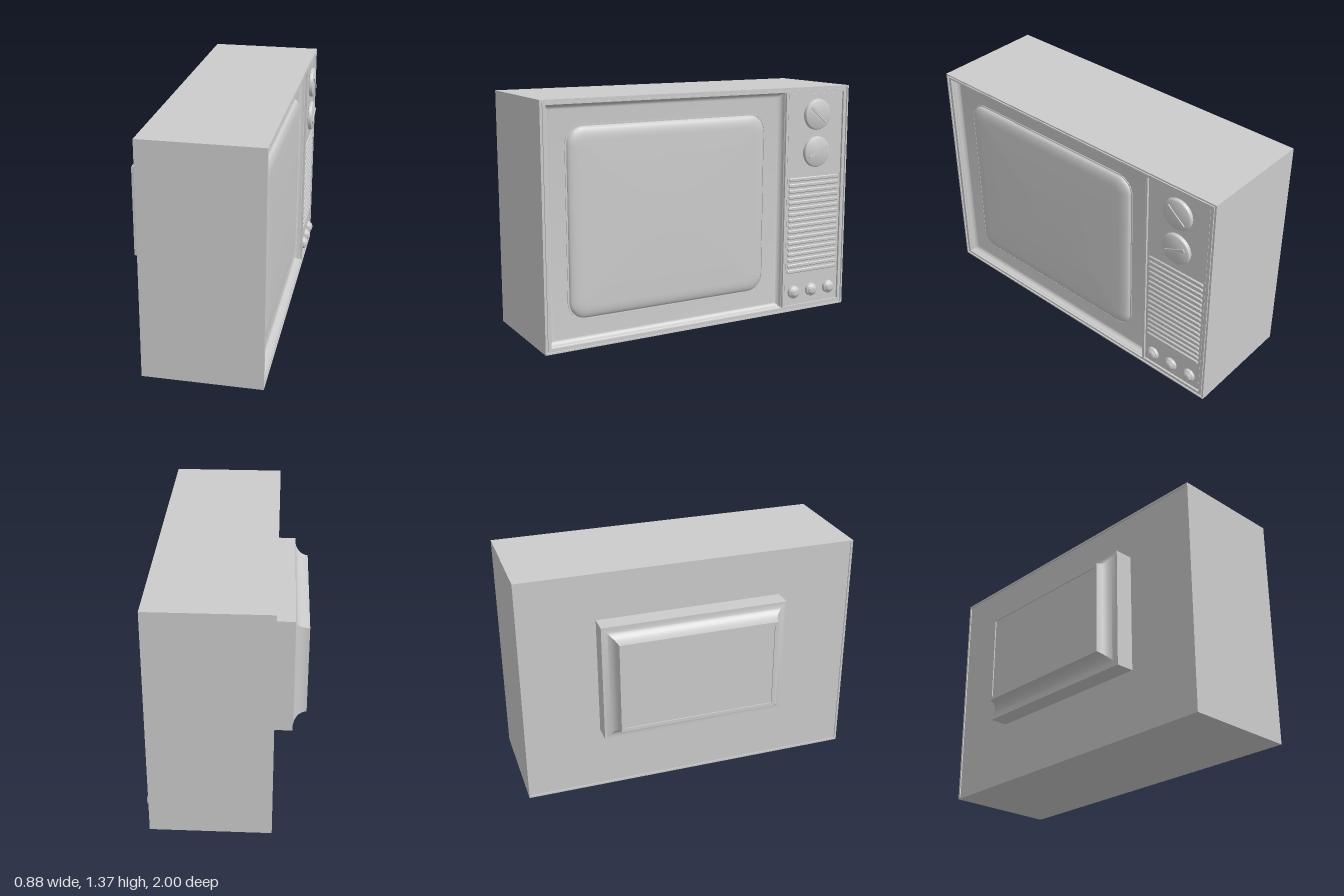
import * as THREE from 'three';
import { toCreasedNormals } from 'three/addons/utils/BufferGeometryUtils.js';

const material = new THREE.MeshStandardMaterial({ color: 0xcccccc });

// Counter-clockwise rounded rectangle [x0, x1, y0, y1], shrunk by inset, at depth z
function ring([x0, x1, y0, y1], inset, z, r = 0) {
  const steps = r > 0 ? 8 : 0, pts = [];
  const corners = [[x1, y0, 1, -1], [x1, y1, 1, 1], [x0, y1, -1, 1], [x0, y0, -1, -1]];
  corners.forEach(([x, y, sx, sy], c) => {
    for (let i = 0; i <= steps; i++) {
      const a = (c - 1 + (steps ? i / steps : 0)) * Math.PI / 2;
      const k = r > 0 ? r : 0;
      pts.push([x - sx * (inset + k) + k * Math.cos(a), y - sy * (inset + k) + k * Math.sin(a), z]);
    }
  });
  return pts;
}

// Skin over successive rings, with optional caps on the first and last
function loft(rings, capStart, capEnd, crease = 0.5) {
  const n = rings[0].length, pos = rings.flat(2), idx = [];
  for (let i = 0; i < rings.length - 1; i++)
    for (let j = 0; j < n; j++) {
      const a = i * n + j, b = i * n + (j + 1) % n;
      idx.push(a, b, b + n, a, b + n, a + n);
    }
  const cap = (k, flip) => {
    const mid = pos.length / 3, sum = [0, 0, 0];
    rings[k].forEach(p => p.forEach((v, i) => { sum[i] += v / n; }));
    pos.push(...sum);
    for (let j = 0; j < n; j++) {
      const a = k * n + j, b = k * n + (j + 1) % n;
      idx.push(...(flip ? [b, a, mid] : [a, b, mid]));
    }
  };
  if (capStart) cap(0, true);
  if (capEnd) cap(rings.length - 1, false);
  const g = new THREE.BufferGeometry();
  g.setAttribute('position', new THREE.Float32BufferAttribute(pos, 3));
  g.setIndex(idx);
  return toCreasedNormals(g, crease);
}

function rectPath(Type, [x0, x1, y0, y1]) {
  const p = new Type();
  p.moveTo(x0, y0).lineTo(x1, y0).lineTo(x1, y1).lineTo(x0, y1).closePath();
  return p;
}

// Round control turned about the depth axis, from [radius, height] points
function turned(profile) {
  const g = new THREE.LatheGeometry(profile.map(([r, h]) => new THREE.Vector2(r, h)), 32);
  return toCreasedNormals(g.rotateX(Math.PI / 2), 0.7);
}

export function createModel() {
  const root = new THREE.Group();
  // Built facing +z, then turned so the screen faces +x
  const set = new THREE.Group();
  set.name = 'television';
  set.rotation.y = Math.PI / 2;
  root.add(set);
  const add = (name, geometry, parent = set, x = 0, y = 0, z = 0) => {
    const m = new THREE.Mesh(geometry, material);
    m.name = name;
    m.position.set(x, y, z);
    parent.add(m);
    return m;
  };

  const outer = [-1, 1, 0, 1.37];
  const screenBay = [-0.965, 0.545, 0.03, 1.342];
  const controlBay = [0.56, 0.965, 0.036, 1.336];

  // Cabinet shell with a lip around the back and a stepped front rim
  add('cabinet', loft([
    ring(outer, 0.012, -0.255), ring(outer, 0.012, -0.262), ring(outer, 0, -0.262),
    ring(outer, 0, 0.415), ring(outer, 0.009, 0.415), ring(outer, 0.009, 0.406),
    ring(outer, 0.017, 0.406), ring(outer, 0.017, 0.38),
  ], true, false));

  // Front frame with openings for the screen and the controls
  const frame = rectPath(THREE.Shape, [-0.983, 0.983, 0.017, 1.353]);
  frame.holes.push(rectPath(THREE.Path, screenBay), rectPath(THREE.Path, controlBay));
  add('frontFrame', new THREE.ExtrudeGeometry(frame, { depth: 0.035, bevelEnabled: false }), set, 0, 0, 0.378);

  // Coved bezel around the screen
  const bezel = [ring(screenBay, 0, 0.4)];
  for (let i = 0; i <= 6; i++) {
    const a = i / 6 * Math.PI / 2;
    bezel.push(ring(screenBay, 0.004 + 0.03 * (1 - Math.cos(a)), 0.395 - 0.03 * Math.sin(a)));
  }
  add('bezel', loft(bezel, false, true));

  // Pillow-shaped screen glass with a dark gap moulding around it
  const glass = [-0.84, 0.415, 0.155, 1.222];
  add('screenSurround', loft([
    ring(glass, -0.006, 0.36, 0.106), ring(glass, -0.006, 0.369, 0.106),
    ring(glass, 0, 0.369, 0.1), ring(glass, 0, 0.36, 0.1),
  ], false, false));
  const pillow = [ring(glass, 0.004, 0.36, 0.096)];
  for (let i = 0; i <= 8; i++) {
    const a = i / 8 * Math.PI / 2;
    pillow.push(ring(glass, 0.005 + 0.075 * (1 - Math.cos(a)), 0.366 + 0.026 * Math.sin(a), 0.095 - 0.06 * (1 - Math.cos(a))));
  }
  pillow.push(ring(glass, 0.25, 0.396, 0.03));
  add('screen', loft(pillow, false, true, 0.8));

  // Control panel, raised inside its own thin groove
  add('controlPanel', loft([
    ring(controlBay, 0, 0.4), ring(controlBay, 0.006, 0.4), ring(controlBay, 0.006, 0.406),
  ], false, true));

  // Speaker grille slats
  const grille = new THREE.Group();
  grille.name = 'speakerGrille';
  set.add(grille);
  const slat = [-0.185, 0.185, -0.011, 0.011];
  const slatShape = loft([
    ring(slat, 0, 0, 0.01), ring(slat, 0, 0.006, 0.01), ring(slat, 0.004, 0.01, 0.006),
  ], false, true);
  for (let i = 0; i < 17; i++) add('slat', slatShape, grille, 0.762, 0.25 + i * 0.0355, 0.405);

  // Two dials with grip bars
  const dialShape = turned([[0.085, 0], [0.093, 0.004], [0.093, 0.016], [0.09, 0.023], [0.08, 0.028], [0, 0.03]]);
  for (const [y, angle] of [[1.205, -0.7], [0.98, 0.42]]) {
    const dial = new THREE.Group();
    dial.name = 'dial';
    dial.position.set(0.767, y, 0.405);
    dial.rotation.z = angle;
    set.add(dial);
    add('dialCap', dialShape, dial);
    add('dialGrip', new THREE.BoxGeometry(0.14, 0.016, 0.02), dial, 0, 0, 0.025);
  }

  // Three small domed buttons
  const button = turned([[0.04, 0], [0.04, 0.01], [0.038, 0.017], [0.031, 0.02], [0.028, 0.025], [0.02, 0.031], [0.01, 0.034], [0, 0.035]]);
  for (const x of [0.627, 0.758, 0.89]) add('button', button, set, x, 0.12, 0.405);

  // Rear housing: flange, concave flare and a recessed back face
  const housing = [-0.545, 0.555, 0.38, 1.09];
  const rear = [
    ring(housing, 0.1, -0.438), ring(housing, 0.1, -0.445),
  ];
  for (let i = 0; i <= 8; i++) {
    const a = i / 8 * Math.PI / 2;
    rear.push(ring(housing, 0.008 + 0.072 * Math.cos(a), -0.445 + 0.08 * Math.sin(a)));
  }
  rear.push(ring(housing, 0, -0.365), ring(housing, 0, -0.25));
  add('rearHousing', loft(rear, true, false));

  return root;
}
